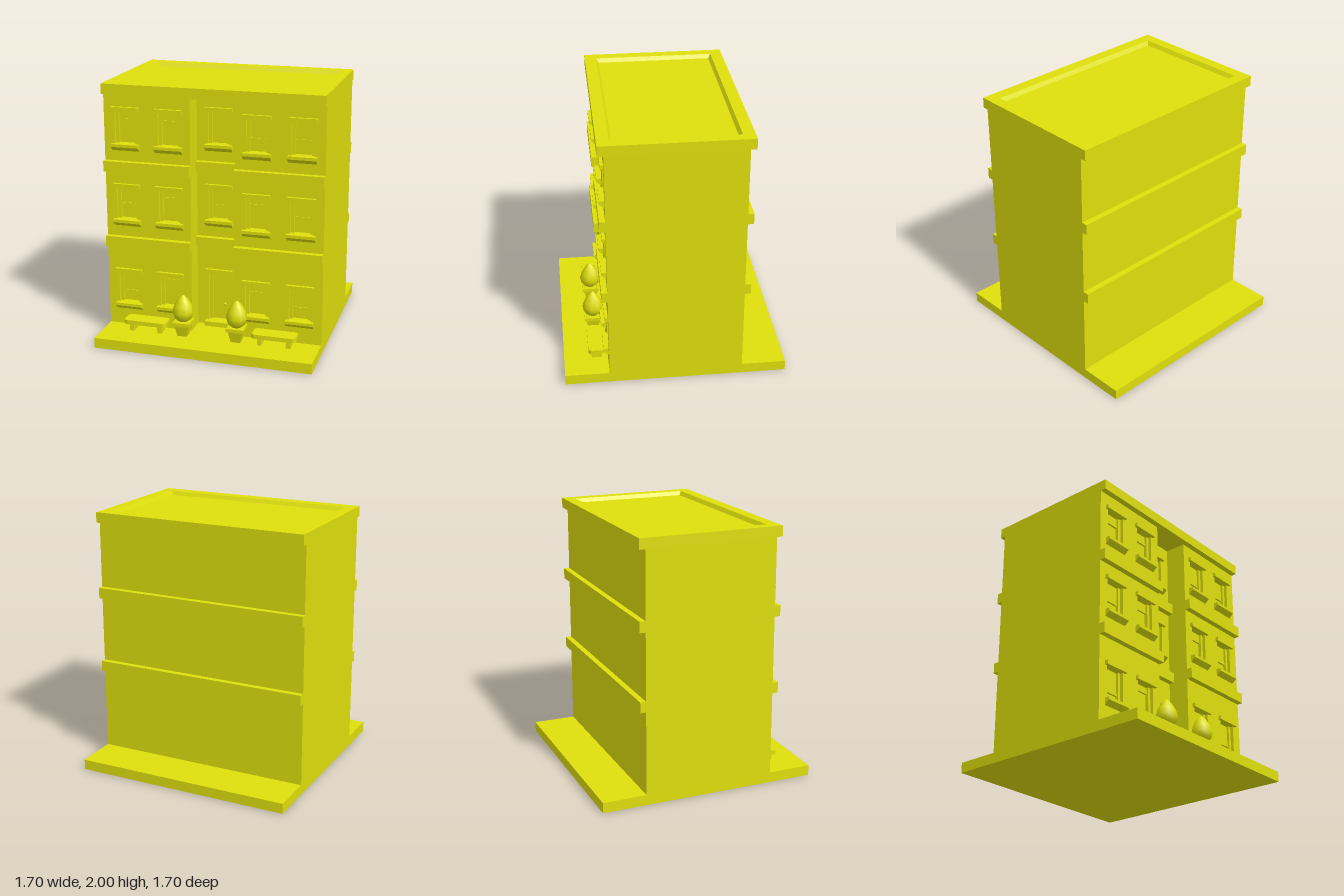
import * as THREE from 'three';

const material = new THREE.MeshStandardMaterial({ color: 0xdede0c });

function add(parent, name, geometry, x = 0, y = 0, z = 0) {
  const mesh = new THREE.Mesh(geometry, material);
  mesh.name = name;
  mesh.position.set(x, y, z);
  parent.add(mesh);
  return mesh;
}

// Box given by its lower and upper limits on each axis
function block(parent, name, x0, x1, y0, y1, z0, z1) {
  return add(parent, name, new THREE.BoxGeometry(x1 - x0, y1 - y0, z1 - z0),
    (x0 + x1) / 2, (y0 + y1) / 2, (z0 + z1) / 2);
}

// Capped loft through rectangles [halfX, halfZ, y]
function loft(rects) {
  const pos = [], index = [];
  for (const [hx, hz, y] of rects) pos.push(-hx, y, -hz, -hx, y, hz, hx, y, hz, hx, y, -hz);
  for (let r = 0; r < rects.length - 1; r++) {
    for (let i = 0; i < 4; i++) {
      const a = r * 4 + i, b = r * 4 + (i + 1) % 4;
      index.push(a, b, b + 4, a, b + 4, a + 4);
    }
  }
  const t = (rects.length - 1) * 4;
  index.push(0, 2, 1, 0, 3, 2, t, t + 1, t + 2, t, t + 2, t + 3);
  const indexed = new THREE.BufferGeometry();
  indexed.setAttribute('position', new THREE.Float32BufferAttribute(pos, 3));
  indexed.setIndex(index);
  const geometry = indexed.toNonIndexed();
  geometry.computeVertexNormals();
  return geometry;
}

function polygon(points) {
  return new THREE.Shape(points.map(([x, y]) => new THREE.Vector2(x, y)));
}

function rectangle(x0, x1, y0, y1) {
  return [[x0, y0], [x1, y0], [x1, y1], [x0, y1]];
}

const WING = 0.51, CENTRE = 0.34, BAY = 0.172, REVEAL = 0.05;
const columns = [-0.68, -0.34, 0, 0.34, 0.68];
const floors = [0.207, 0.892, 1.487];   // underside of the sills
const blinds = [                        // height of each blind's lower rail
  [0.342, 0.467, 0, 0.435, 0.347],
  [1.058, 1.127, 1.05, 1.13, 1.06],
  [1.72, 1.72, 0, 1.634, 1.645],
];

// Wall panel pierced by rectangular openings
function wall(parent, name, x0, x1, front, openings) {
  const shape = polygon(rectangle(x0, x1, 0.08, 1.92));
  for (const o of openings) shape.holes.push(polygon(rectangle(...o)));
  const geometry = new THREE.ExtrudeGeometry(shape, { depth: REVEAL, bevelEnabled: false });
  add(parent, name, geometry, 0, 0, front - REVEAL);
}

function opening(x, s) {
  return [x - 0.085, x + 0.085, s + 0.05, s + 0.305];
}

// Two jambs and a projecting lintel, used by windows and door
function surround(parent, bottom, top) {
  for (const side of [-1, 1]) {
    const jamb = new THREE.BoxGeometry(0.024, top - bottom, 0.025);
    add(parent, 'jamb', jamb, side * 0.073, (bottom + top) / 2, -0.0375);
  }
  block(parent, 'lintel', -0.108, 0.108, top, top + 0.032, -0.01, 0.025);
}

// Sill with a sloping underside
const sillGeometry = new THREE.ExtrudeGeometry(
  polygon([[-0.03, 0.03], [0, 0], [0.038, 0.032], [0.038, 0.055], [-0.05, 0.055], [-0.05, 0.03]]),
  { depth: 0.216, bevelEnabled: false });
sillGeometry.translate(0, 0, -0.108).rotateY(-Math.PI / 2);

function makeWindow(x, s, front, railY) {
  const group = new THREE.Group();
  group.name = 'window';
  group.position.set(x, 0, front);
  surround(group, s + 0.05, s + 0.305);
  add(group, 'sill', sillGeometry, 0, s, 0);
  if (railY) {
    block(group, 'blind', -0.061, 0.061, railY, s + 0.305, -0.05, -0.042);
    block(group, 'blindRail', -0.061, 0.061, railY - 0.009, railY + 0.009, -0.05, -0.036);
  }
  return group;
}

function makePlanter(x) {
  const group = new THREE.Group();
  group.name = 'planter';
  group.position.set(x, 0.08, 0.6);
  add(group, 'pot', loft([[0.036, 0.036, 0], [0.056, 0.056, 0.09], [0.067, 0.067, 0.09],
    [0.067, 0.067, 0.117], [0.053, 0.053, 0.117], [0.05, 0.05, 0.105]]));
  // Teardrop shrub
  const profile = [[0, 0.108], [0.038, 0.118], [0.072, 0.15], [0.082, 0.195],
    [0.068, 0.245], [0.04, 0.293], [0.016, 0.32], [0, 0.33]];
  const shrub = new THREE.LatheGeometry(profile.map(([r, y]) => new THREE.Vector2(r, y)), 9);
  add(group, 'shrub', shrub);
  return group;
}

function makeBench(x) {
  const group = new THREE.Group();
  group.name = 'bench';
  group.position.set(x, 0, 0.595);
  const w = 0.17, d = 0.065, r = 0.03;
  const seat = new THREE.Shape();
  seat.moveTo(-w + r, -d);
  for (const [cx, cy, a] of [[w - r, -d + r, -0.5], [w - r, d - r, 0], [-w + r, d - r, 0.5], [-w + r, -d + r, 1]]) {
    seat.absarc(cx, cy, r, a * Math.PI, (a + 0.5) * Math.PI);
  }
  const geometry = new THREE.ExtrudeGeometry(seat, { depth: 0.033, bevelEnabled: false, curveSegments: 3 });
  add(group, 'seat', geometry.rotateX(-Math.PI / 2), 0, 0.14, 0);
  for (const side of [-1, 1]) {
    block(group, 'benchLeg', side * 0.112 - 0.017, side * 0.112 + 0.017, 0.08, 0.14, -0.04, 0.04);
  }
  return group;
}

export function createModel() {
  const model = new THREE.Group();
  model.name = 'building';

  block(model, 'pavement', -0.85, 0.85, 0, 0.08, -0.85, 0.85);

  // Core with a recessed centre bay
  block(model, 'core', -0.85, 0.85, 0.08, 1.92, -0.51, CENTRE - REVEAL);
  for (const side of [-1, 1]) {
    const x0 = side < 0 ? -0.85 : BAY, x1 = side < 0 ? -BAY : 0.85;
    block(model, 'wingCore', x0, x1, 0.08, 1.92, CENTRE - REVEAL, WING - REVEAL);
    const holes = columns.filter((x) => x * side > 0)
      .flatMap((x) => floors.map((s) => opening(x, s)));
    wall(model, 'wingWall', x0, x1, WING, holes);
  }
  const doorway = [-0.085, 0.085, 0.1, 0.512];
  wall(model, 'centreWall', -BAY, BAY, CENTRE,
    [doorway, opening(0, floors[1]), opening(0, floors[2])]);

  // String courses between the floors
  for (const [y0, y1] of [[0.728, 0.81], [1.325, 1.408]]) {
    block(model, 'rearLedge', -0.85, 0.85, y0, y1, -0.555, -0.51);
    block(model, 'leftLedge', BAY, 0.85, y0, y1, WING, 0.555);
    block(model, 'rightLedge', -0.85, -BAY, y0, y1, WING, 0.555);
    block(model, 'centreLedge', -BAY, BAY, y0, y1, CENTRE, CENTRE + 0.045);
  }

  // Cornice, parapet and sunken roof
  add(model, 'roof', loft([[0.85, 0.555, 1.92], [0.85, 0.555, 2],
    [0.765, 0.465, 2], [0.745, 0.445, 1.97]]));

  // Windows, leaving the middle of the ground floor for the door
  floors.forEach((s, f) => columns.forEach((x, c) => {
    if (f === 0 && c === 2) return;
    model.add(makeWindow(x, s, c === 2 ? CENTRE : WING, blinds[f][c]));
  }));

  // Entrance
  const entrance = new THREE.Group();
  entrance.name = 'entrance';
  entrance.position.z = CENTRE;
  surround(entrance, 0.1, 0.512);
  block(entrance, 'door', -0.061, 0.061, 0.1, 0.512, -0.05, -0.043);
  block(entrance, 'doorStep', -0.108, 0.108, 0.08, 0.118, -0.05, 0.05);
  add(entrance, 'doorKnob', new THREE.SphereGeometry(0.012, 12, 8), 0.037, 0.245, -0.035);
  model.add(entrance);

  for (const side of [-1, 1]) {
    model.add(makePlanter(side * 0.213), makeBench(side * 0.51));
  }
  return model;
}
